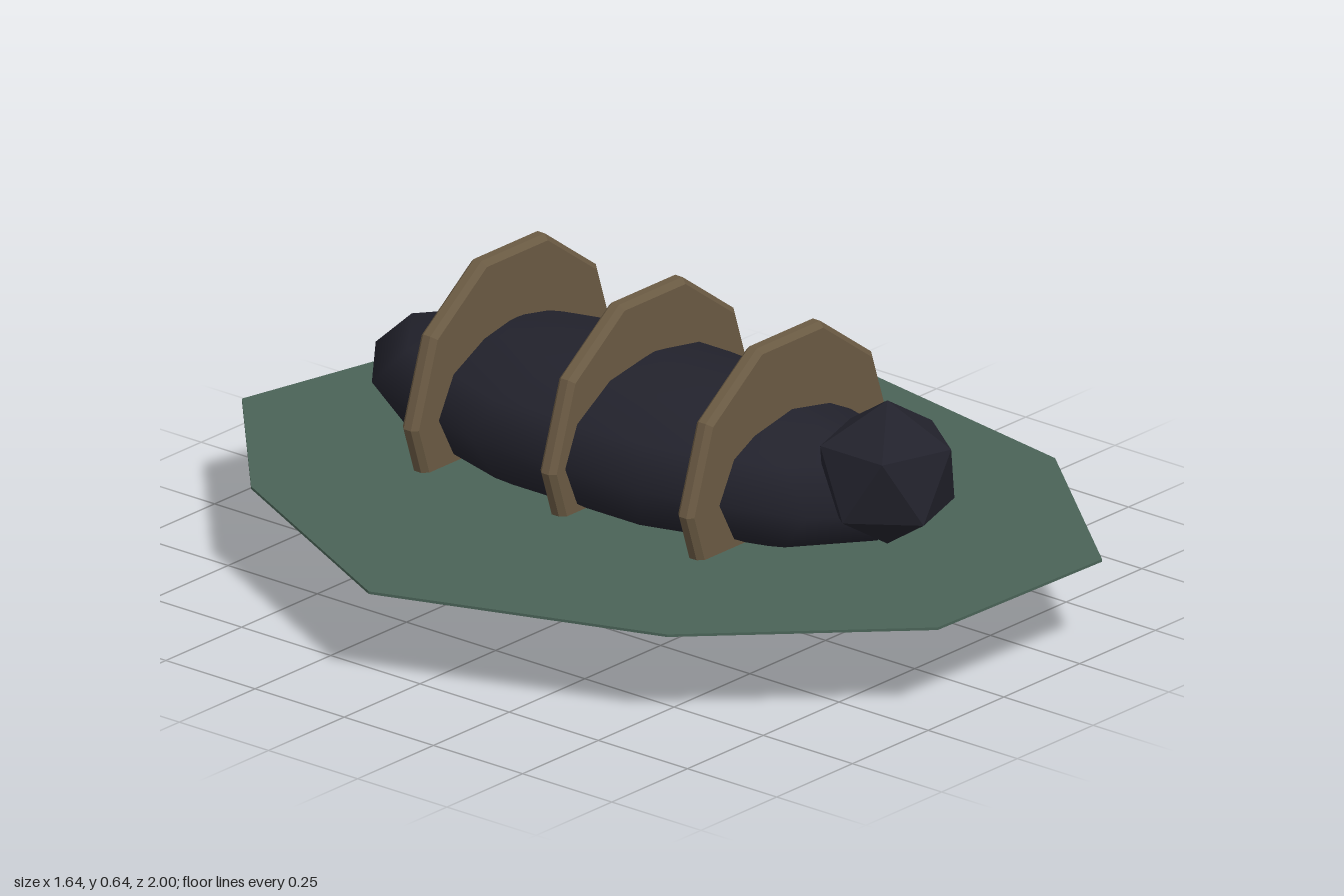
import * as THREE from 'three';

const AXIS_X = 0.065;

function paint(name, color, extra = {}) {
  const m = new THREE.MeshStandardMaterial({ color, ...extra });
  m.name = name;
  return m;
}

function part(parent, name, geometry, material, x, y, z) {
  const mesh = new THREE.Mesh(geometry, material);
  mesh.name = name;
  mesh.position.set(x, y, z);
  parent.add(mesh);
  return mesh;
}

export function createModel() {
  const model = new THREE.Group();
  model.name = 'boundBody';

  const charcoal = paint('charcoal', 0x22222c);
  const charcoalFaceted = charcoal.clone();
  charcoalFaceted.flatShading = true;
  const brown = paint('brown', 0x6a5a43, { flatShading: true });
  const green = paint('mossGreen', 0x4a6357, { flatShading: true });

  // Long body: a stretched ten-sided ball with a corner at each end
  const body = new THREE.SphereGeometry(1, 10, 6, Math.PI / 2);
  body.scale(0.31, 0.183, 0.753);
  part(model, 'body', body, charcoal, AXIS_X, 0.331, -0.063);

  // Faceted head standing on one corner
  const head = new THREE.IcosahedronGeometry(0.165, 0);
  head.rotateZ(-Math.atan(2 / (1 + Math.sqrt(5))));
  part(model, 'head', head, charcoalFaceted, AXIS_X, 0.405, 0.618);

  // Three bevelled ten-sided discs around the body
  const profile = [
    [0, -0.0225], [0.325, -0.0225], [0.3375, -0.01],
    [0.3375, 0.01], [0.325, 0.0225], [0, 0.0225],
  ].map(([r, y]) => new THREE.Vector2(r, y));
  const disc = new THREE.LatheGeometry(profile, 10, Math.PI / 2);
  disc.rotateX(Math.PI / 2);
  [0.329, -0.057, -0.443].forEach((z, i) => {
    part(model, `disc${i + 1}`, disc, brown, 0.067, 0.327, z);
  });

  // Thin uneven mat around the waterline of the body
  const outline = [
    [-0.16, -1], [0.265, -0.905], [0.57, -0.565], [0.82, -0.08], [0.705, 0.545],
    [0.33, 0.995], [-0.195, 0.98], [-0.6, 0.565], [-0.825, -0.08], [-0.53, -0.66],
  ].map(([x, z]) => new THREE.Vector2(x, -z));
  const mat = new THREE.ExtrudeGeometry(new THREE.Shape(outline), { depth: 0.006, bevelEnabled: false });
  mat.rotateX(-Math.PI / 2);
  part(model, 'mat', mat, green, 0, 0.215, 0);

  return model;
}
